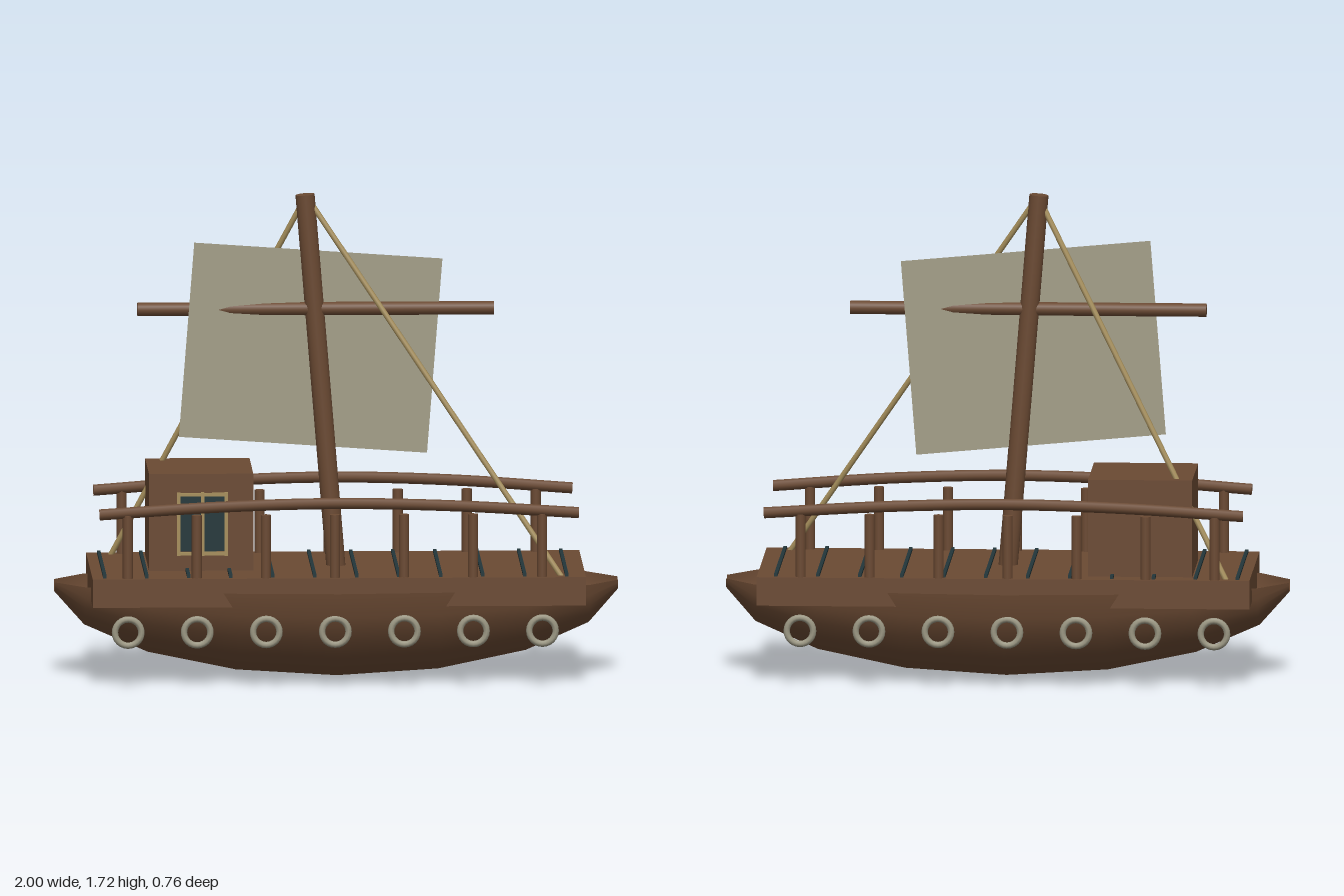
import * as THREE from 'three';

const mat = (name, color, side = THREE.FrontSide) => {
  const m = new THREE.MeshStandardMaterial({ color, side });
  m.name = name;
  return m;
};

export function createModel() {
  const model = new THREE.Group();
  model.name = 'raftBoat';
  const wood = mat('brownWood', 0x6b4a33, THREE.DoubleSide);
  const canvas = mat('paleCanvas', 0xa39e88, THREE.DoubleSide);
  const tyre = mat('greyTyre', 0x9a9682);
  const rope = mat('strawRope', 0xa68f5c);
  const dark = mat('darkTeal', 0x22363a);

  const add = (name, geometry, material, x = 0, y = 0, z = 0) => {
    const mesh = new THREE.Mesh(geometry, material);
    mesh.name = name;
    mesh.position.set(x, y, z);
    model.add(mesh);
    return mesh;
  };
  // Box given by its min and max corners
  const box = (name, material, a, b) => add(name,
    new THREE.BoxGeometry(b[0] - a[0], b[1] - a[1], b[2] - a[2]), material,
    (a[0] + b[0]) / 2, (a[1] + b[1]) / 2, (a[2] + b[2]) / 2);
  // Straight round bar between two points
  const bar = (name, material, a, b, r, sides = 12) => {
    const p = new THREE.Vector3(...a), q = new THREE.Vector3(...b);
    const d = q.clone().sub(p);
    const mesh = add(name, new THREE.CylinderGeometry(r, r, d.length(), sides), material);
    mesh.position.copy(p).add(q).multiplyScalar(0.5);
    mesh.quaternion.setFromUnitVectors(new THREE.Vector3(0, 1, 0), d.normalize());
    return mesh;
  };

  // Hull: open shell of half-ellipse sections, truncated at both ends
  const pos = [], index = [], NX = 8, NA = 12, cut = 0.11;
  for (let i = 0; i <= NX; i++) {
    const t = Math.PI - cut - (i / NX) * (Math.PI - 2 * cut);
    const x = Math.cos(t) / Math.cos(cut), s = Math.sin(t);
    for (let j = 0; j <= NA; j++) {
      const a = -Math.PI / 2 + (j / NA) * Math.PI;
      pos.push(x, 0.343 - 0.341 * s * Math.cos(a), 0.38 * s * Math.sin(a));
      if (i < NX && j < NA) {
        const k = i * (NA + 1) + j, n = k + NA + 1;
        index.push(k, n, k + 1, n, n + 1, k + 1);
      }
    }
  }
  const hull = new THREE.BufferGeometry();
  hull.setAttribute('position', new THREE.Float32BufferAttribute(pos, 3));
  hull.setIndex(index);
  hull.computeVertexNormals();
  add('hull', hull, wood);

  // Deck with hanging skirt walls
  box('deck', wood, [-0.875, 0.383, -0.343], [0.875, 0.395, 0.343]);
  for (const s of [-1, 1]) {
    add('deckSideWall', new THREE.BoxGeometry(1.75, 0.1, 0.01), wood, 0, 0.343, s * 0.338);
    add('deckEndWall', new THREE.BoxGeometry(0.01, 0.1, 0.67), wood, s * 0.87, 0.343, 0);
  }
  // Dark seams between planks
  for (let i = 0; i < 12; i++) {
    add('plankSeam', new THREE.BoxGeometry(0.012, 0.014, 0.64), dark, -0.831 + i * 0.149, 0.398, 0);
  }

  // Railings, posts and fender tyres on both sides
  for (const s of [-1, 1]) {
    const curve = new THREE.CatmullRomCurve3([
      [-0.85, 0.622, 0.314], [-0.43, 0.65, 0.331], [0, 0.662, 0.337],
      [0.43, 0.65, 0.331], [0.85, 0.622, 0.314],
    ].map(([x, y, z]) => new THREE.Vector3(x, y, s * z)));
    add('railing', new THREE.TubeGeometry(curve, 24, 0.02, 8), wood);
    for (const e of [0, 1]) {
      const p = curve.getPointAt(e);
      const cap = add('railingEnd', new THREE.CircleGeometry(0.02, 8), wood, p.x, p.y, p.z);
      cap.rotation.y = e ? Math.PI / 2 : -Math.PI / 2;
    }
    for (let i = 0; i < 7; i++) {
      const x = -0.75 + i * 0.245;
      bar('railPost', wood, [x, 0.39, s * 0.32], [x, 0.62, s * 0.32], 0.018);
      add('fenderTyre', new THREE.TorusGeometry(0.047, 0.0115, 8, 24), tyre, x, 0.207, s * 0.363);
    }
  }

  // Cabin and its framed window
  box('cabin', wood, [-0.668, 0.39, -0.265], [-0.298, 0.742, 0.135]);
  box('windowPane', dark, [-0.565, 0.47, 0.145], [-0.395, 0.668, 0.173]);
  for (const x of [-0.564, -0.48, -0.396]) {
    box('windowFrameUpright', rope, [x - 0.006, 0.455, 0.176], [x + 0.006, 0.682, 0.188]);
  }
  for (const y of [0.463, 0.674]) {
    box('windowFrameCrossbar', rope, [-0.57, y - 0.006, 0.176], [-0.39, y + 0.006, 0.188]);
  }

  // Leaning mast, yard and stays
  bar('mast', wood, [0, 0.385, 0], [-0.11, 1.722, 0], 0.034, 16);
  bar('yard', wood, [-0.705, 1.313, 0], [0.56, 1.313, 0], 0.024);
  bar('foreStay', rope, [-0.095, 1.7, 0], [0.79, 0.39, 0.295], 0.01, 8);
  bar('aftStay', rope, [-0.115, 1.7, 0], [-0.79, 0.39, -0.3], 0.01, 8);

  // Sail: thin sheet, tilted with the mast and slightly twisted
  const sail = add('sail', new THREE.PlaneGeometry(0.888, 0.697), canvas, -0.09, 1.173, 0);
  sail.rotation.set(0, 0.073, -0.079);

  return model;
}
